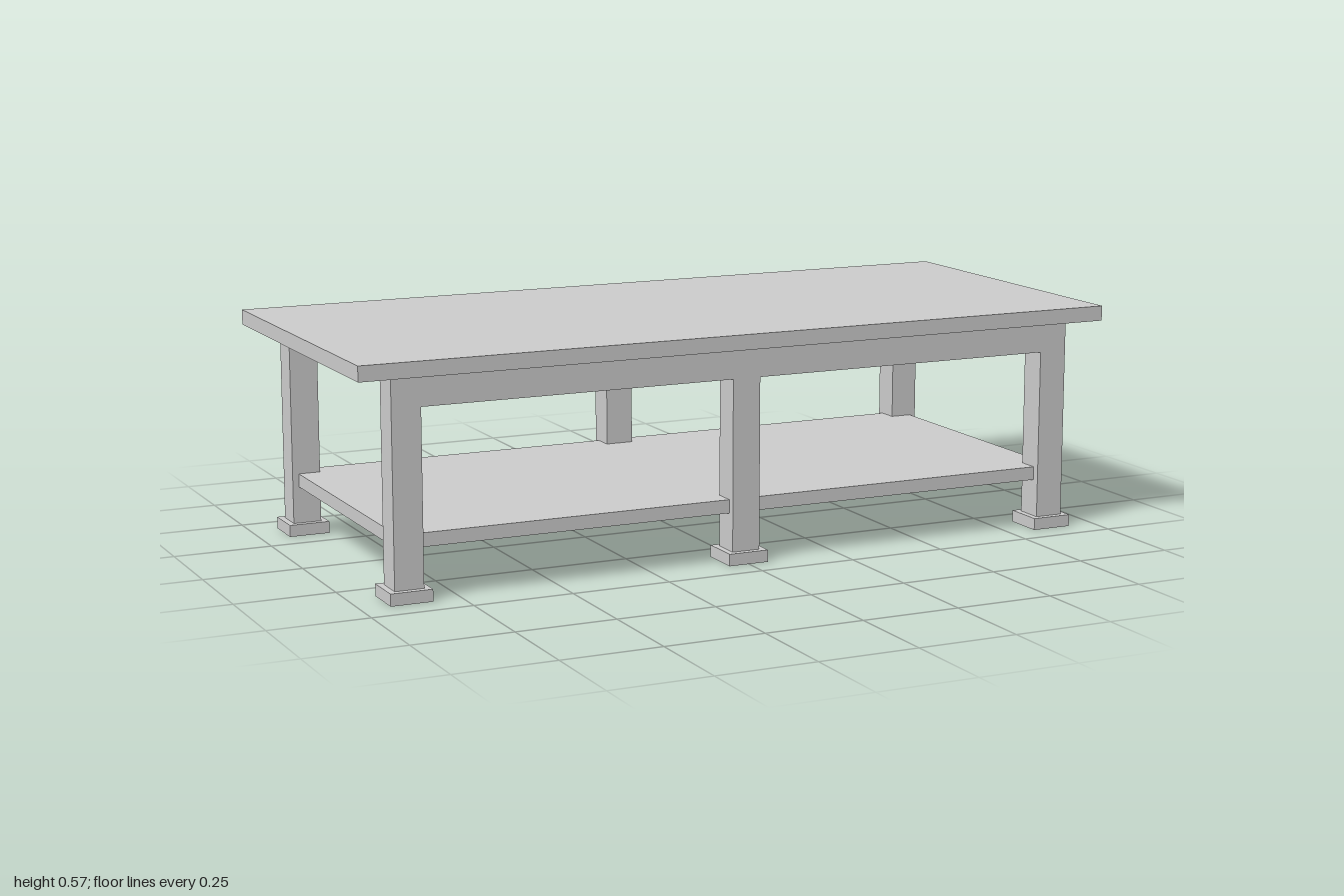
import * as THREE from 'three';

export function createModel() {
  const table = new THREE.Group();
  table.name = 'table';
  const material = new THREE.MeshStandardMaterial({ color: 0xcccccc, flatShading: true });

  // Box given by its size, its centre in x and z, and its bottom height
  function addBox(name, width, height, depth, x, bottom, z) {
    const mesh = new THREE.Mesh(new THREE.BoxGeometry(width, height, depth), material);
    mesh.name = name;
    mesh.position.set(x, bottom + height / 2, z);
    table.add(mesh);
  }

  const legX = 0.875, legZ = 0.375, legSize = 0.073, footSize = 0.105;
  const footTop = 0.03, apronBottom = 0.46, topBottom = 0.535;

  addBox('tableTop', 2, 0.038, 0.885, 0, topBottom, 0);

  // Lower shelf, its corners let into the legs
  addBox('lowerShelf', 1.79, 0.034, 0.785, 0, 0.124, 0);

  for (const [side, sz] of [['front', 1], ['back', -1]]) {
    const z = sz * legZ;
    // Long rail under the top, flush with the legs
    addBox(side + 'Apron', 2 * legX + legSize, topBottom - apronBottom, legSize, 0, apronBottom, z);

    for (const [place, sx] of [['Right', -1], ['Middle', 0], ['Left', 1]]) {
      const x = sx * legX;
      addBox(side + place + 'Leg', legSize, apronBottom - footTop, legSize, x, footTop, z);
      addBox(side + place + 'Foot', footSize, footTop, footSize, x, 0, z);
    }
  }
  return table;
}
